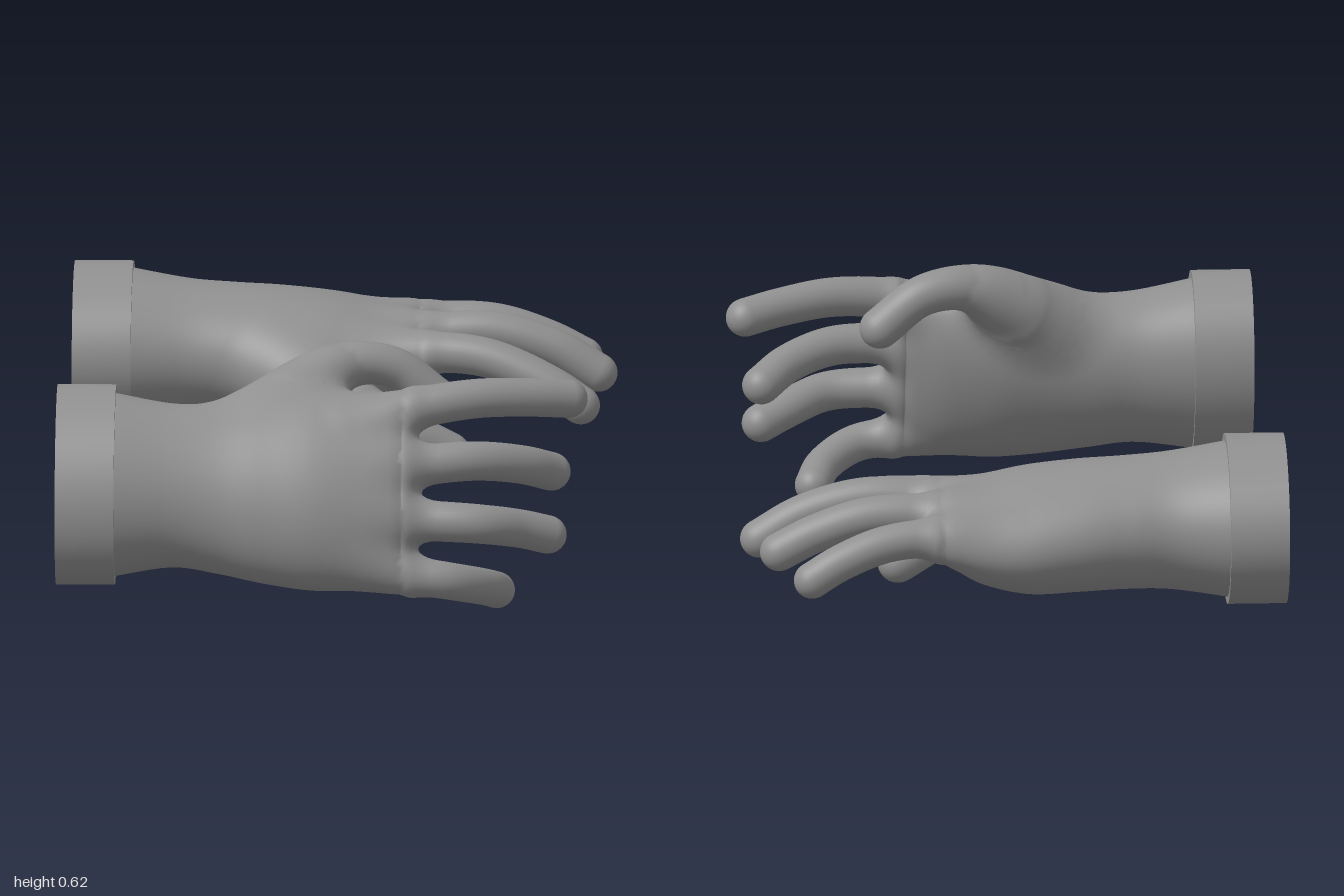
import * as THREE from 'three';

const material = new THREE.MeshStandardMaterial({ color: 0x909090, side: THREE.DoubleSide });
const V = (x, y, z) => new THREE.Vector3(x, y, z);
const lerp = THREE.MathUtils.lerp, clamp = THREE.MathUtils.clamp;
const CAP = 0.03; // depth of the rounded edge between the finger roots

// Skin a list of equally sized closed rings
function loft(name, rings) {
  const n = rings[0].length, index = [];
  for (let i = 0; i < rings.length - 1; i++) {
    for (let j = 0; j < n; j++) {
      const a = i * n + j, b = i * n + (j + 1) % n;
      index.push(a, b, a + n, b, b + n, a + n);
    }
  }
  const geometry = new THREE.BufferGeometry().setFromPoints(rings.flat());
  geometry.setIndex(index);
  geometry.computeVertexNormals();
  const mesh = new THREE.Mesh(geometry, material);
  mesh.name = name;
  return mesh;
}

// Smooth curve through plain numbers, t in 0..1
function sample(values, t) {
  const s = t * (values.length - 1), i = Math.min(Math.floor(s), values.length - 2), f = s - i;
  const at = (k) => values[clamp(k, 0, values.length - 1)];
  const [a, b, c, d] = [at(i - 1), at(i), at(i + 1), at(i + 2)];
  return b + 0.5 * f * (c - a + f * (2 * a - 5 * b + 4 * c - d + f * (3 * (b - c) + d - a)));
}

// Oval ring around the x axis; a row holds x, y, z, width, thickness, tilt and arch
function handRing([x, y, z, width, thick, tilt, arch], cap = 0, count = 80) {
  const c = Math.cos(tilt), s = Math.sin(tilt), size = Math.max(Math.cos(cap), 0.001);
  return Array.from({ length: count }, (_, j) => {
    const a = j / count * Math.PI * 2, u = Math.cos(a) * size;
    const v = Math.sin(a) * size * thick - arch * u * u;
    return V(x + CAP * Math.sin(cap), y + c * u * width + s * v, z - s * u * width + c * v);
  });
}

// Wrist and palm: rings for the skin, and the distance to them
const profile = {
  x: [-0.505, -0.37, -0.26, -0.15, -0.03, 0.08, 0.15, 0.178],
  width: [0.222, 0.199, 0.209, 0.232, 0.247, 0.238, 0.222, 0.21],
  thick: [0.183, 0.162, 0.155, 0.152, 0.145, 0.119, 0.089, 0.066],
};
function palm(pose) {
  const rows = [], steps = 52;
  for (let i = 0; i <= steps; i++) {
    const t = i / steps;
    const lists = [profile.x, pose.y, pose.z, profile.width, profile.thick, pose.tilt];
    rows.push([...lists.map((list) => sample(list, t)), 0.025 * t * t]);
  }
  const rings = rows.map((row) => handRing(row));
  for (let k = 1; k <= 9; k++) rings.push(handRing(rows[steps], k / 9 * Math.PI / 2));
  const distance = (p) => {
    let i = 0;
    while (i < steps - 1 && rows[i + 1][0] < p.x) i++;
    const f = clamp((p.x - rows[i][0]) / (rows[i + 1][0] - rows[i][0]), 0, 1);
    const [, y, z, width, thick, tilt, arch] = rows[i].map((value, k) => lerp(value, rows[i + 1][k], f));
    const c = Math.cos(tilt), s = Math.sin(tilt), dy = p.y - y, dz = p.z - z;
    const u = (c * dy - s * dz) / width;
    const v = (s * dy + c * dz + arch * Math.min(u * u, 1)) / thick;
    const e = Math.max(0, p.x - rows[steps][0]) / CAP, k = Math.hypot(u, v, e);
    return k * (k - 1) / Math.max(Math.hypot(u / width, v / thick, e / CAP), 1e-6);
  };
  return { name: 'palm', rings, distance };
}

// Tapered digit along a smooth path with a round tip
function digit(name, points, radii, back) {
  const curve = new THREE.CatmullRomCurve3(points.map((p) => V(...p)));
  const rings = [], spine = [], steps = 40, count = 32;
  const addRing = (t, radius, advance) => {
    const p = curve.getPoint(t), dir = curve.getTangent(t);
    const side = back.clone().cross(dir).normalize(), up = dir.clone().cross(side);
    p.addScaledVector(dir, advance);
    rings.push(Array.from({ length: count }, (_, j) => {
      const a = j / count * Math.PI * 2;
      return p.clone().addScaledVector(side, radius * Math.cos(a)).addScaledVector(up, radius * Math.sin(a));
    }));
  };
  for (let i = 0; i <= steps; i++) {
    const t = i / steps, r = sample(radii, t), { x, y, z } = curve.getPoint(t);
    addRing(t, r, 0);
    spine.push([x, y, z, r]);
  }
  const tip = radii.at(-1);
  for (let k = 1; k <= 8; k++) {
    const a = k / 8 * Math.PI / 2;
    addRing(1, tip * Math.max(Math.cos(a), 0.001), tip * Math.sin(a));
  }
  const distance = (p) => {
    let best = Infinity;
    for (let i = 0; i < steps; i++) {
      const [ax, ay, az, ar] = spine[i], [bx, by, bz, br] = spine[i + 1];
      const dx = bx - ax, dy = by - ay, dz = bz - az, px = p.x - ax, py = p.y - ay, pz = p.z - az;
      const h = clamp((px * dx + py * dy + pz * dz) / (dx * dx + dy * dy + dz * dz), 0, 1);
      const x = px - h * dx, y = py - h * dy, z = pz - h * dz;
      best = Math.min(best, Math.sqrt(x * x + y * y + z * z) - lerp(ar, br, h));
    }
    return best;
  };
  return { name, rings, distance };
}

// Pull every part's skin onto one soft shared surface, so that the joints flow together
function blend(palmPart, digits) {
  const soft = (a, b, k) => Math.min(a, b) - Math.max(k - Math.abs(a - b), 0) ** 2 / (4 * k);
  const field = (p) => soft(digits.map((d) => d.distance(p)).reduce((a, b) => soft(a, b, 0.025)),
    palmPart.distance(p), 0.06);
  const slope = (p, f) => {
    const e = 0.0008;
    return V(field(V(p.x + e, p.y, p.z)) - f, field(V(p.x, p.y + e, p.z)) - f, field(V(p.x, p.y, p.z + e)) - f)
      .divideScalar(e);
  };
  return [palmPart, ...digits].map(({ name, rings }) => {
    const mesh = loft(name, rings), { position, normal } = mesh.geometry.attributes;
    for (let i = 0; i < position.count; i++) {
      const p = V(0, 0, 0).fromBufferAttribute(position, i);
      let f = field(p);
      if (f < -0.028) continue; // buried inside the hand
      let g = slope(p, f);
      for (let step = 0; step < 4 && Math.abs(f) > 0.0004; step++) {
        p.addScaledVector(g, -f / Math.max(g.lengthSq(), 0.3));
        f = field(p);
        g = slope(p, f);
      }
      g.normalize();
      position.setXYZ(i, p.x, p.y, p.z);
      normal.setXYZ(i, g.x, g.y, g.z);
    }
    return mesh;
  });
}

// Thin oval sleeve, open at the back and stepping in to the wrist
function cuff(pose) {
  const ring = (x, k) => handRing([x, pose.y[0], pose.z[0], 0.243 * k, 0.2 * k, pose.tilt[0], 0]);
  const group = new THREE.Group();
  group.name = 'cuff';
  group.add(loft('cuffSleeve', [ring(-0.645, 1), ring(-0.505, 1)]));
  group.add(loft('cuffShoulder', [ring(-0.505, 1), ring(-0.505, 0.912)]));
  return group;
}

function hand(name, pose) {
  const digits = ['index', 'middle', 'ring', 'little'].map((finger) => {
    const k = finger === 'little' ? 0.95 : 1;
    return digit(finger + 'Finger', pose[finger], [0.042, 0.048, 0.047, 0.046, 0.046].map((r) => r * k), pose.back);
  });
  digits.push(digit('thumb', pose.thumb, [0.06, 0.088, 0.078, 0.056, 0.049, 0.049], pose.back));
  const group = new THREE.Group();
  group.name = name;
  group.add(cuff(pose), ...blend(palm(pose), digits));
  return group;
}

// Back of the hand towards the front, thumb on top
const uprightPose = {
  back: V(0, 0.45, 0.9),
  y: [0.311, 0.308, 0.302, 0.303, 0.305, 0.304, 0.303, 0.304],
  z: [0.785, 0.777, 0.774, 0.78, 0.789, 0.801, 0.816, 0.823],
  tilt: [0.55, 0.54, 0.52, 0.5, 0.47, 0.43, 0.38, 0.36],
  index: [[0.05, 0.45, 0.765], [0.2, 0.49, 0.745], [0.35, 0.508, 0.705], [0.48, 0.5, 0.65], [0.568, 0.488, 0.605]],
  middle: [[0.05, 0.36, 0.81], [0.2, 0.365, 0.805], [0.35, 0.37, 0.77], [0.46, 0.347, 0.7], [0.528, 0.315, 0.625]],
  ring: [[0.05, 0.26, 0.845], [0.2, 0.245, 0.855], [0.36, 0.235, 0.855], [0.46, 0.21, 0.79], [0.522, 0.188, 0.75]],
  little: [[0.03, 0.17, 0.865], [0.17, 0.122, 0.882], [0.29, 0.1, 0.875], [0.37, 0.07, 0.795], [0.4, 0.044, 0.71]],
  thumb: [[-0.25, 0.4, 0.72], [-0.15, 0.448, 0.675], [-0.05, 0.515, 0.618], [0.045, 0.561, 0.575], [0.15, 0.55, 0.548],
    [0.25, 0.475, 0.537]],
};

// Back of the hand upwards, thumb towards the front
const flatPose = {
  back: V(0, 1, 0),
  y: [0.333, 0.331, 0.328, 0.323, 0.316, 0.321, 0.338, 0.348],
  z: [-0.712, -0.708, -0.711, -0.713, -0.716, -0.725, -0.735, -0.735],
  tilt: Array(8).fill(Math.PI / 2),
  index: [[0.05, 0.34, -0.58], [0.2, 0.355, -0.553], [0.35, 0.345, -0.525], [0.5, 0.285, -0.493], [0.567, 0.242, -0.482]],
  middle: [[0.05, 0.35, -0.68], [0.2, 0.375, -0.664], [0.35, 0.385, -0.658], [0.5, 0.345, -0.655], [0.604, 0.285, -0.655]],
  ring: [[0.05, 0.35, -0.775], [0.2, 0.375, -0.793], [0.35, 0.375, -0.8], [0.48, 0.335, -0.804], [0.565, 0.292, -0.805]],
  little: [[0.03, 0.335, -0.87], [0.18, 0.35, -0.905], [0.32, 0.34, -0.93], [0.43, 0.3, -0.95], [0.495, 0.262, -0.958]],
  thumb: [[-0.25, 0.3, -0.62], [-0.14, 0.29, -0.545], [-0.03, 0.27, -0.448], [0.07, 0.243, -0.388], [0.16, 0.2, -0.365],
    [0.258, 0.146, -0.378]],
};

export function createModel() {
  const model = new THREE.Group();
  model.name = 'pairOfHands';
  model.add(hand('uprightHand', uprightPose), hand('flatHand', flatPose));
  return model;
}
